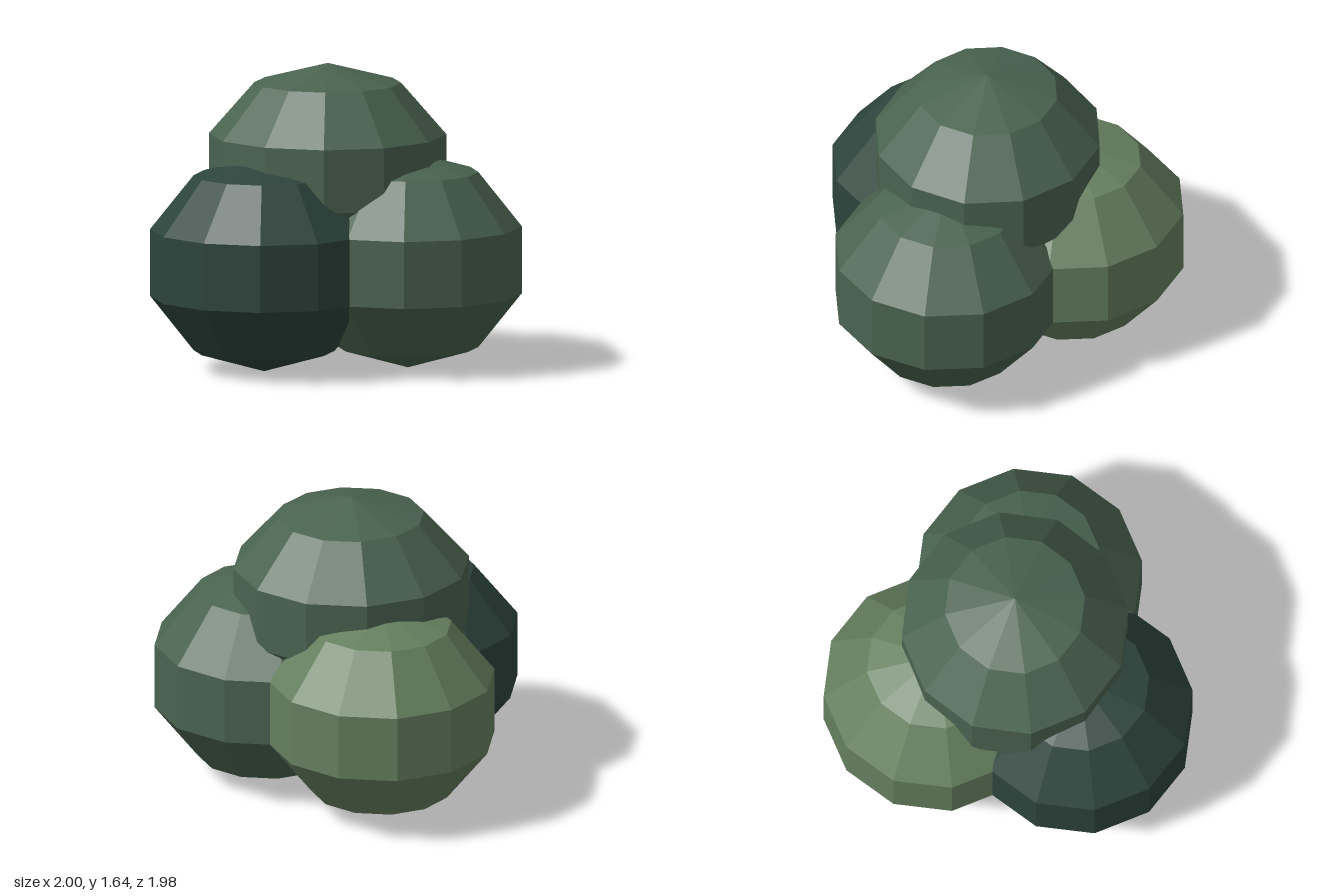
import * as THREE from 'three';

// One faceted leaf clump: 12 sides, 5 bands, squashed in height
function clump(name, color, position, radii) {
  const geometry = new THREE.SphereGeometry(1, 12, 5);
  geometry.scale(...radii);
  const material = new THREE.MeshStandardMaterial({ color, flatShading: true });
  const mesh = new THREE.Mesh(geometry, material);
  mesh.name = name;
  mesh.position.set(...position);
  return mesh;
}

export function createModel() {
  const bush = new THREE.Group();
  bush.name = 'bush';

  const midGreen = 0x4a6350;
  const darkGreen = 0x2d443c;
  const lightGreen = 0x657f5f;
  const lower = [0.647, 0.59, 0.647];

  // Three lower clumps around the base
  bush.add(clump('rightClump', darkGreen, [-0.385, 0.592, 0.37], lower));
  bush.add(clump('leftClump', midGreen, [0.385, 0.592, 0.2], lower));
  bush.add(clump('backClump', lightGreen, [-0.155, 0.592, -0.375], lower));

  // Wider, flatter clump on top
  bush.add(clump('topClump', midGreen, [-0.052, 1.08, 0.065], [0.675, 0.56, 0.648]));

  return bush;
}
